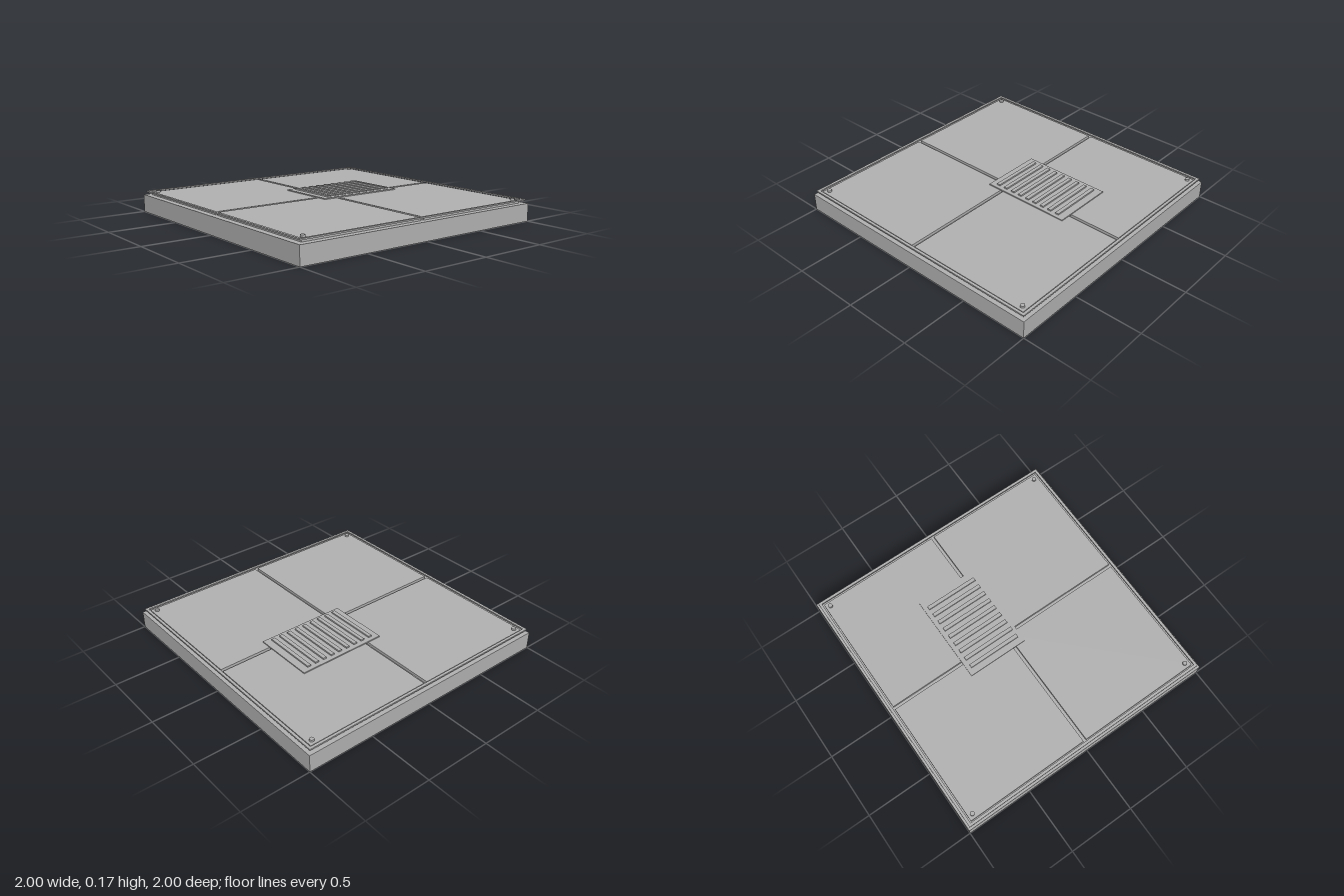
import * as THREE from 'three';

export function createModel() {
  const model = new THREE.Group();
  model.name = 'floorPanel';
  const grey = new THREE.MeshStandardMaterial({ color: 0xb2b2b2 });
  grey.name = 'plainGrey';

  // Adds a mesh spanning the given bounds
  function box(name, x0, x1, y0, y1, z0, z1) {
    const mesh = new THREE.Mesh(new THREE.BoxGeometry(x1 - x0, y1 - y0, z1 - z0), grey);
    mesh.position.set((x0 + x1) / 2, (y0 + y1) / 2, (z0 + z1) / 2);
    mesh.name = name;
    model.add(mesh);
  }

  // Slab underneath
  box('baseSlab', -1, 1, 0, 0.13, -1, 1);

  // Four tiles separated by narrow joints, with a screw at each outer corner
  const near = 0.012, far = 0.955;
  for (const sx of [-1, 1]) {
    for (const sz of [-1, 1]) {
      const xs = [sx * near, sx * far].sort((a, b) => a - b);
      const zs = [sz * near, sz * far].sort((a, b) => a - b);
      box('tile', xs[0], xs[1], 0.128, 0.151, zs[0], zs[1]);
      const screw = new THREE.Mesh(new THREE.CylinderGeometry(0.016, 0.016, 0.016, 16), grey);
      screw.name = 'cornerScrew';
      screw.position.set(sx * 0.92, 0.157, sz * 0.92);
      model.add(screw);
    }
  }

  // Thin raised rim around the tiles
  const square = (Type, r) => new Type([[-r, -r], [r, -r], [r, r], [-r, r]].map(([x, y]) => new THREE.Vector2(x, y)));
  const rimShape = square(THREE.Shape, 0.985);
  rimShape.holes.push(square(THREE.Path, 0.965));
  const rimGeometry = new THREE.ExtrudeGeometry(rimShape, { depth: 0.01, bevelEnabled: false });
  rimGeometry.rotateX(-Math.PI / 2);
  const rim = new THREE.Mesh(rimGeometry, grey);
  rim.name = 'rim';
  rim.position.y = 0.15;
  model.add(rim);

  // Vent plate with nine parallel slats
  box('ventPlate', -0.12, 0.555, 0.148, 0.159, -0.378, 0.09);
  for (let i = 0; i < 9; i++) {
    const x = -0.058 + i * 0.068;
    box('ventSlat', x - 0.014, x + 0.014, 0.157, 0.17, -0.345, 0.062);
  }

  return model;
}
